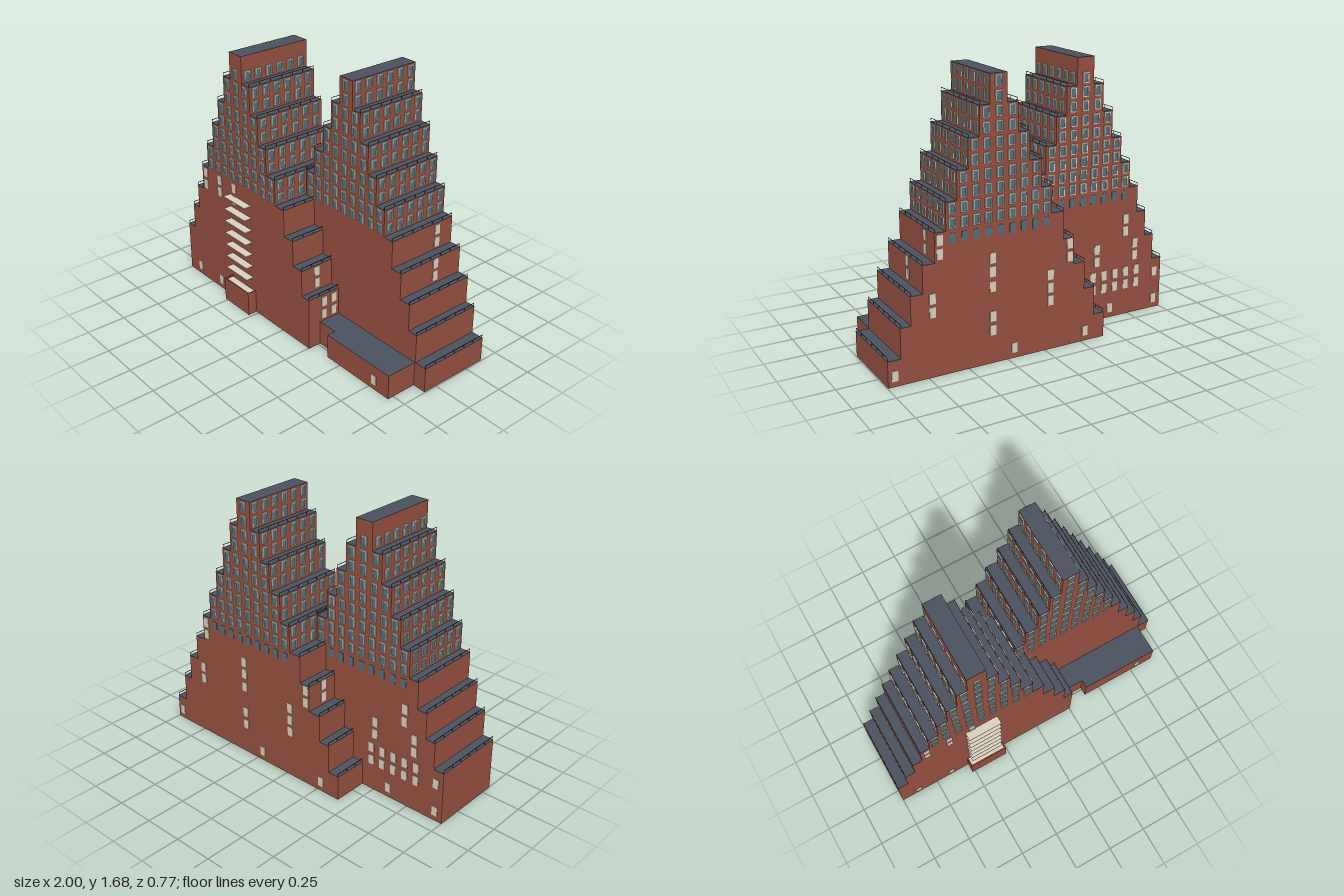
import * as THREE from 'three';
import { mergeGeometries } from 'three/addons/utils/BufferGeometryUtils.js';

const paint = (color) => new THREE.MeshStandardMaterial({ color });
const BRICK = paint(0x944f3f), SLATE = paint(0x4b515d), CREAM = paint(0xd8cfbd);
const GLASS = paint(0x4d7180), DARK = paint(0x3a2a28);

// Each storey: [left x, right x, top y], from the ground up
const TOWERS = [
  {
    name: 'leftTower', back: -0.16, front: 0.32, bareTop: true,
    steps: [[-1, 0.255, 0.335], [-0.93, 0.19, 0.505], [-0.865, 0.11, 0.67], [-0.8, 0.03, 0.84],
      [-0.735, -0.05, 1.005], [-0.665, -0.13, 1.17], [-0.595, -0.2, 1.34], [-0.525, -0.27, 1.51], [-0.455, -0.34, 1.675]],
  },
  {
    name: 'rightTower', back: -0.38, front: 0.09, bareTop: false,
    steps: [[-0.415, 0.995, 0.155], [-0.34, 0.915, 0.335], [-0.27, 0.85, 0.505], [-0.19, 0.775, 0.67], [-0.12, 0.7, 0.84],
      [-0.04, 0.63, 1.005], [0.03, 0.56, 1.17], [0.11, 0.49, 1.34], [0.18, 0.42, 1.51], [0.25, 0.355, 1.675]],
  },
];

// Box given by its min and max corners
function block(x0, x1, y0, y1, z0, z1) {
  return new THREE.BoxGeometry(x1 - x0, y1 - y0, z1 - z0)
    .translate((x0 + x1) / 2, (y0 + y1) / 2, (z0 + z1) / 2);
}

function addMesh(group, name, parts, material) {
  const mesh = new THREE.Mesh(parts.length > 1 ? mergeGeometries(parts) : parts[0], material);
  mesh.name = name;
  group.add(mesh);
}

// Window frame with an opening, facing +z
function frameGeometry() {
  const rect = (C, w, h) => new C([[-w, -h], [w, -h], [w, h], [-w, h]].map(([x, y]) => new THREE.Vector2(x, y)));
  const shape = rect(THREE.Shape, 0.021, 0.032);
  shape.holes.push(rect(THREE.Path, 0.015, 0.026));
  return new THREE.ExtrudeGeometry(shape, { depth: 0.007, bevelEnabled: false });
}
const FRAME = frameGeometry();
const PANE = new THREE.BoxGeometry(0.034, 0.056, 0.006);
const SHUTTER = new THREE.BoxGeometry(0.038, 0.062, 0.008);
const put = (geo, x, y, z, turn) => geo.clone().rotateY(turn).translate(x, y, z);

function buildTower({ name, back, front, bareTop, steps }) {
  const group = new THREE.Group();
  group.name = name;

  // Stepped gable outline, extruded front to back
  const left = [], right = [];
  let floor = 0;
  for (const [l, r, top] of steps) {
    left.push(new THREE.Vector2(l, floor), new THREE.Vector2(l, top));
    right.push(new THREE.Vector2(r, floor), new THREE.Vector2(r, top));
    floor = top;
  }
  const outline = new THREE.Shape([...right, ...left.reverse()]);
  const body = new THREE.ExtrudeGeometry(outline, { depth: front - back, bevelEnabled: false }).translate(0, 0, back);
  addMesh(group, 'brickBody', [body], BRICK);

  // Slate covering and railings on every terrace
  const slates = [], rails = [];
  steps.forEach(([l, r, top], i) => {
    const next = steps[i + 1];
    const treads = next ? [[l, next[0]], [next[1], r]] : [[l, r]];
    for (const [a, b] of treads) slates.push(block(a, b, top - 0.002, top + 0.003, back, front));
    if (!next) return;
    for (const x of [l + 0.004, r - 0.004]) {
      rails.push(block(x - 0.001, x + 0.001, top + 0.02, top + 0.023, back, front));
      for (let k = 0; k <= 6; k++) {
        const z = back + 0.002 + (front - back - 0.004) * k / 6;
        rails.push(block(x - 0.001, x + 0.001, top, top + 0.022, z - 0.001, z + 0.001));
      }
    }
  });
  addMesh(group, 'terraceRoofs', slates, SLATE);
  addMesh(group, 'terraceRailings', rails, DARK);

  // Two rows of framed windows on each of the five upper storeys
  const frames = [], panes = [];
  const window = (x, y, z, turn, framed = true) => {
    if (framed) frames.push(put(FRAME, x, y, z, turn));
    panes.push(put(PANE, x, y, z, turn));
  };
  const gableX = (l, r, n, k) => l + (r - l) * (k + 0.5) / n;
  steps.slice(-5).forEach(([l, r, top], i) => {
    const count = 9 - 2 * i;
    for (const y of [top - 0.12, top - 0.037]) {
      if (bareTop && i === 4 && y > top - 0.1) continue;
      for (let k = 0; k < count; k++) {
        const x = gableX(l, r, count, k);
        window(x, y, front, 0);
        window(x, y, back, Math.PI);
      }
      for (let k = 0; k < 6; k++) {
        const z = front - 0.04 - 0.0785 * k;
        window(r, y, z, Math.PI / 2);
        window(l, y, z, -Math.PI / 2);
      }
    }
  });
  // Plain panes in the row below, on the back only
  const [bl, br] = steps[steps.length - 5];
  for (let k = 0; k < 9; k++) window(gableX(bl, br, 9, k), 0.8, back, Math.PI, false);
  addMesh(group, 'windowFrames', frames, CREAM);
  addMesh(group, 'windowPanes', panes, GLASS);
  return group;
}

// Scattered pale windows on the lower walls
function buildPaleWindows(group) {
  const parts = [];
  const column = (turn, at, wall, ys) => {
    const sideways = Math.abs(Math.sin(turn)) > 0.5;
    for (const y of ys) parts.push(put(SHUTTER, sideways ? wall : at, y, sideways ? at : wall, turn));
  };
  const BACK = Math.PI, EAST = Math.PI / 2, WEST = -Math.PI / 2;
  for (const x of [-0.76, -0.61, -0.46]) column(0, x, 0.32, [0.72, 0.8]);
  for (const x of [-0.88, -0.64]) column(0, x, 0.32, [0.065]);
  column(0, 0.79, 0.29, [0.065]);
  // Back of the right tower
  column(BACK, 0.345, -0.38, [0.205, 0.29, 0.47, 0.56, 0.64]);
  column(BACK, 0.67, -0.38, [0.72, 0.8]);
  column(BACK, 0.72, -0.38, [0.39, 0.47]);
  column(BACK, -0.035, -0.38, [0.31, 0.39, 0.47]);
  column(BACK, -0.165, -0.38, [0.56, 0.64]);
  for (const x of [0.205, -0.28, 0.955]) column(BACK, x, -0.38, [0.065]);
  // Back of the left tower
  for (let k = 0; k < 5; k++) column(BACK, -0.48 - 0.082 * k, -0.16, [0.205, 0.29]);
  column(BACK, -0.95, -0.16, [0.065, 0.25]);
  column(BACK, -0.61, -0.16, [0.065]);
  column(BACK, -0.505, -0.16, [0.39, 0.47]);
  column(BACK, -0.715, -0.16, [0.56, 0.64]);
  column(BACK, -0.79, -0.16, [0.39, 0.47]);
  // Stepped sides
  column(EAST, -0.26, 0.7, [0.72, 0.8]);
  column(EAST, -0.18, 0.775, [0.56, 0.64]);
  column(EAST, 0.205, 0.19, [0.39, 0.47]);
  for (const z of [0.205, 0.13]) column(EAST, z, 0.255, [0.205, 0.29]);
  column(WEST, -0.26, -0.19, [0.56, 0.64]);
  addMesh(group, 'paleWindows', parts, CREAM);
}

export function createModel() {
  const model = new THREE.Group();
  model.name = 'twinSteppedBuilding';
  for (const tower of TOWERS) model.add(buildTower(tower));
  buildPaleWindows(model);

  // Low wing in front of the right tower
  addMesh(model, 'frontWing', [block(0.39, 0.91, 0, 0.153, 0.08, 0.29), block(0.25, 0.4, 0, 0.153, 0.08, 0.235)], BRICK);
  addMesh(model, 'frontWingRoof', [block(0.39, 0.91, 0.153, 0.157, 0.09, 0.29), block(0.255, 0.39, 0.153, 0.157, 0.09, 0.235)], SLATE);

  // Entrance porch with a pale roof inside a low parapet
  addMesh(model, 'entrancePorch', [block(-0.52, -0.27, 0, 0.145, 0.31, 0.38)], BRICK);
  addMesh(model, 'porchParapet', [
    block(-0.52, -0.27, 0.145, 0.157, 0.372, 0.38),
    block(-0.52, -0.512, 0.145, 0.157, 0.32, 0.372),
    block(-0.278, -0.27, 0.145, 0.157, 0.32, 0.372),
  ], BRICK);
  addMesh(model, 'porchRoof', [block(-0.512, -0.278, 0.145, 0.148, 0.32, 0.372)], CREAM);

  // Balcony slabs stacked above the porch
  const slabs = [];
  for (let i = 0; i < 7; i++) {
    const y = 0.241 + i * 0.0837;
    slabs.push(block(-0.505, -0.29, y - 0.003, y + 0.003, 0.31, 0.372));
  }
  addMesh(model, 'balconySlabs', slabs, CREAM);
  return model;
}
